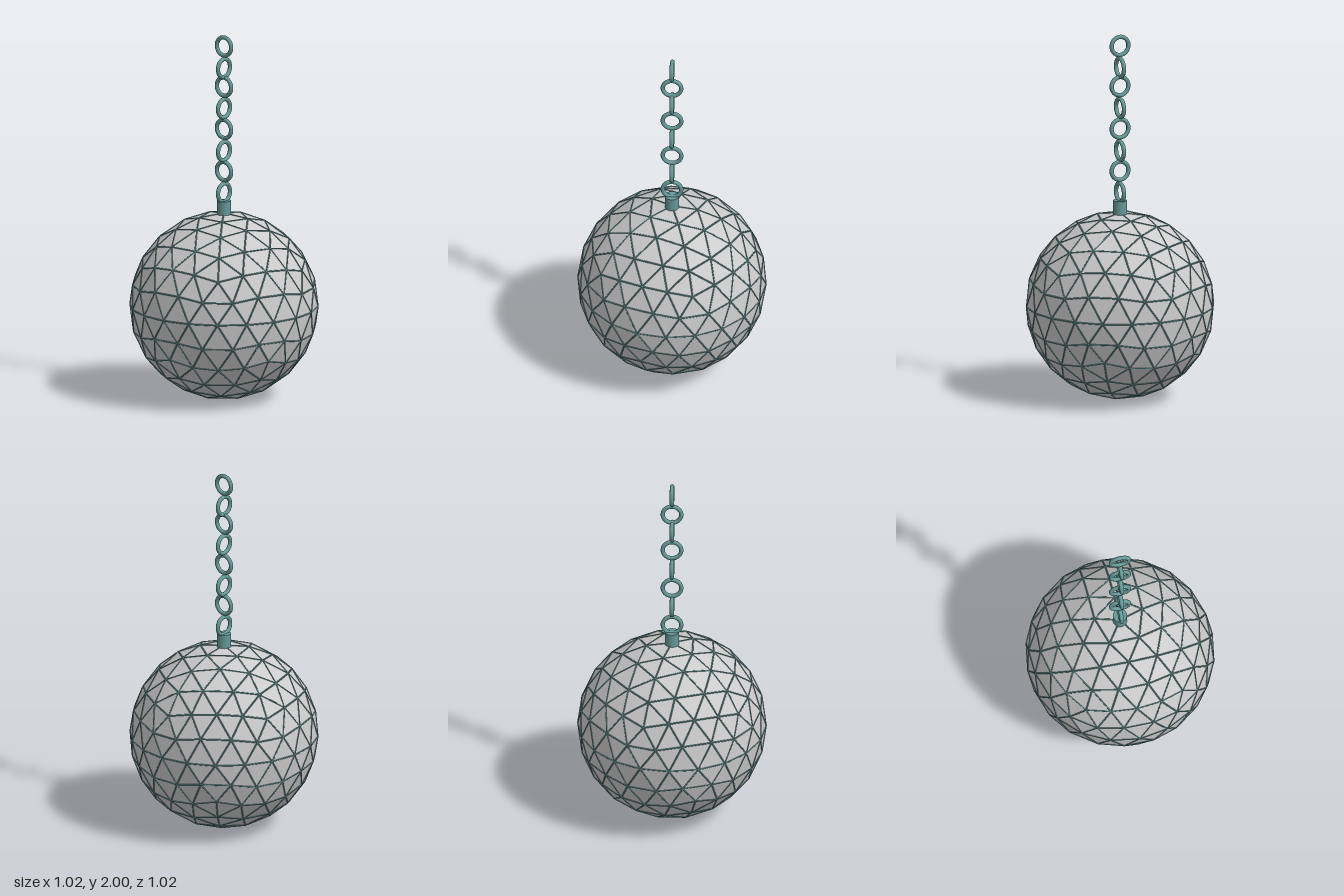
import * as THREE from 'three';
import { mergeGeometries } from 'three/addons/utils/BufferGeometryUtils.js';

const CENTER_Y = 0.512, BALL_R = 0.507, STRUT_R = 0.004;

// Icosahedron standing on a corner, each face split in four `levels` times
function icosphereFaces(radius, levels) {
  const ring = (lat, offset) => Array.from({ length: 5 }, (_, i) => {
    const a = offset + i * Math.PI * 0.4;
    return new THREE.Vector3(Math.cos(a) * 2, lat, Math.sin(a) * 2).normalize();
  });
  const top = new THREE.Vector3(0, 1, 0), bottom = new THREE.Vector3(0, -1, 0);
  const upper = ring(1, 0), lower = ring(-1, Math.PI / 5);
  let faces = [];
  for (let i = 0; i < 5; i++) {
    const j = (i + 1) % 5;
    faces.push([top, upper[j], upper[i]], [upper[i], upper[j], lower[i]],
      [upper[j], lower[j], lower[i]], [bottom, lower[i], lower[j]]);
  }
  const mid = (a, b) => a.clone().add(b).normalize();
  for (let n = 0; n < levels; n++) {
    faces = faces.flatMap(([a, b, c]) => {
      const ab = mid(a, b), bc = mid(b, c), ca = mid(c, a);
      return [[a, ab, ca], [ab, b, bc], [ca, bc, c], [ab, bc, ca]];
    });
  }
  return faces.map(f => f.map(p => p.clone().multiplyScalar(radius)));
}

// Thin square bar between two points, one edge turned outwards
function strut(a, b) {
  const geo = new THREE.CylinderGeometry(STRUT_R, STRUT_R, a.distanceTo(b), 4);
  const y = b.clone().sub(a).normalize();
  const middle = a.clone().add(b).multiplyScalar(0.5);
  const z = middle.clone().normalize();
  const x = new THREE.Vector3().crossVectors(y, z);
  return geo.applyMatrix4(new THREE.Matrix4().makeBasis(x, y, z).setPosition(middle));
}

export function createModel() {
  const model = new THREE.Group();
  const grey = new THREE.MeshStandardMaterial({ color: 0xcccccc, flatShading: true });
  const teal = new THREE.MeshStandardMaterial({ color: 0x669999 });
  const add = (name, geometry, material, y) => {
    const mesh = new THREE.Mesh(geometry, material);
    mesh.name = name;
    mesh.position.y = y;
    model.add(mesh);
    return mesh;
  };

  // Faceted ball
  const faces = icosphereFaces(BALL_R, 2);
  const ball = new THREE.BufferGeometry().setFromPoints(faces.flat());
  ball.computeVertexNormals();
  add('ball', ball, grey, CENTER_Y);

  // Fine frame along every facet edge
  const key = p => p.toArray().map(v => Math.round(v * 1e4)).join();
  const edges = new Map();
  for (const f of faces) {
    f.forEach((a, i) => {
      const b = f[(i + 1) % 3];
      edges.set([key(a), key(b)].sort().join('|'), [a, b]);
    });
  }
  const frame = mergeGeometries([...edges.values()].map(([a, b]) => strut(a, b)));
  add('ballFrame', frame, teal, CENTER_Y);

  // Collar holding the chain
  add('collar', new THREE.CylinderGeometry(0.038, 0.038, 0.09, 32), teal, 1.043);

  // Chain of round links, every other one turned a quarter
  const link = new THREE.TorusGeometry(0.05, 0.0115, 12, 40);
  [1.132, 1.251, 1.362, 1.484, 1.598, 1.717, 1.82, 1.939].forEach((y, i) => {
    add('chainLink' + (i + 1), link, teal, y).rotation.y = (i % 2) * Math.PI / 2;
  });
  return model;
}
